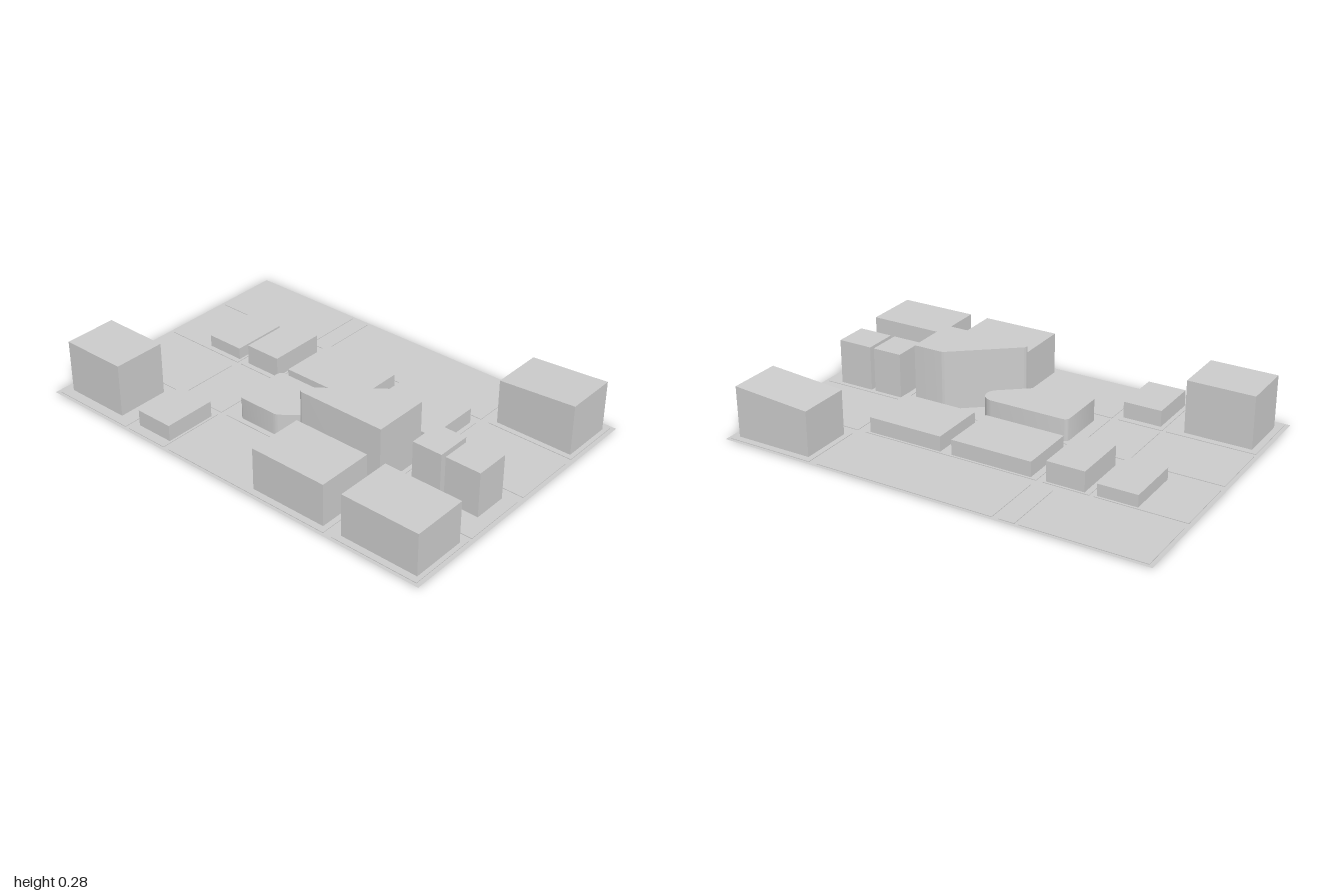
import * as THREE from 'three';
import { toCreasedNormals } from 'three/addons/utils/BufferGeometryUtils.js';

const grey = new THREE.MeshStandardMaterial({ color: 0xcccccc });
const LOT_TOP = 0.005;

// Box given by its extents on the ground plan and in height
function block(name, x0, x1, z0, z1, top, bottom = 0) {
  const geometry = new THREE.BoxGeometry(x1 - x0, top - bottom, z1 - z0);
  geometry.translate((x0 + x1) / 2, (top + bottom) / 2, (z0 + z1) / 2);
  const mesh = new THREE.Mesh(geometry, grey);
  mesh.name = name;
  return mesh;
}

// Polygon outline; each corner is [x, z, radius] and is replaced by an arc
function roundedOutline(corners) {
  const shape = new THREE.Shape();
  const points = corners.map(([x, z]) => new THREE.Vector2(x, -z));
  const n = points.length;
  points.forEach((p, i) => {
    const r = corners[i][2];
    const toPrev = points[(i + n - 1) % n].clone().sub(p).normalize();
    const toNext = points[(i + 1) % n].clone().sub(p).normalize();
    const half = Math.acos(toPrev.dot(toNext)) / 2;
    const reach = r / Math.tan(half);
    const start = p.clone().addScaledVector(toPrev, reach);
    const end = p.clone().addScaledVector(toNext, reach);
    const centre = toPrev.clone().add(toNext).normalize().multiplyScalar(r / Math.sin(half)).add(p);
    if (i === 0) shape.moveTo(start.x, start.y);
    else shape.lineTo(start.x, start.y);
    if (r > 0) {
      const a0 = start.clone().sub(centre).angle();
      const a1 = end.clone().sub(centre).angle();
      shape.absarc(centre.x, centre.y, r, a0, a1, toPrev.cross(toNext) > 0);
    }
  });
  shape.closePath();
  return shape;
}

function roundedBuilding(name, corners, height) {
  const geometry = new THREE.ExtrudeGeometry(roundedOutline(corners), {
    depth: height, bevelEnabled: false, curveSegments: 10,
  });
  geometry.rotateX(-Math.PI / 2);
  const mesh = new THREE.Mesh(toCreasedNormals(geometry, 0.6), grey);
  mesh.name = name;
  return mesh;
}

export function createModel() {
  const model = new THREE.Group();
  model.name = 'cityBlocks';

  // Road sheet under the lots
  const road = new THREE.Mesh(
    new THREE.PlaneGeometry(2, 1.35).rotateX(-Math.PI / 2),
    new THREE.MeshStandardMaterial({ color: 0xcccccc, side: THREE.DoubleSide })
  );
  road.position.y = 0.002;
  road.name = 'roadSheet';
  model.add(road);

  // Raised lots, row by row
  const lots = new THREE.Group();
  lots.name = 'lots';
  const usual = [[-0.98, -0.57], [-0.55, -0.34], [-0.31, 0.53], [0.57, 0.98]];
  const back = [[-0.98, -0.43], [-0.41, -0.34], [-0.31, 0.53], [0.57, 0.98]];
  const rows = [
    [-0.66, -0.36, back],
    [-0.32, -0.02, usual],
    [0.02, 0.32, usual],
    [0.34, 0.66, usual],
  ];
  for (const [z0, z1, columns] of rows) {
    for (const [x0, x1] of columns) lots.add(block('lot', x0, x1, z0, z1, LOT_TOP));
  }
  model.add(lots);

  // Plain box buildings: x range, z range, height
  const buildings = [
    ['frontLeftCornerTower', 0.595, 0.96, 0.37, 0.63, 0.2],
    ['frontHall', 0.14, 0.505, 0.37, 0.63, 0.2],
    ['frontLowHouse', -0.53, -0.35, 0.37, 0.615, 0.08],
    ['frontRightCornerTower', -0.95, -0.64, 0.37, 0.615, 0.25],
    ['twinTowerInner', 0.595, 0.735, 0.04, 0.2, 0.213],
    ['twinTowerOuter', 0.755, 0.92, 0.04, 0.2, 0.213],
    ['lowHallLeft', 0.155, 0.51, -0.31, -0.04, 0.075],
    ['lowHallRight', -0.28, 0.1, -0.31, -0.04, 0.075],
    ['lowHouseInner', -0.525, -0.35, -0.31, -0.045, 0.098],
    ['lowHouseOuter', -0.76, -0.58, -0.31, -0.045, 0.06],
  ];
  for (const spec of buildings) model.add(block(...spec));

  // Back corner tower with a roof rising towards its outer side
  const sloped = block('slopedRoofTower', 0.595, 0.96, -0.63, -0.385, 0.24);
  const pos = sloped.geometry.attributes.position;
  for (let i = 0; i < pos.count; i++) {
    if (pos.getY(i) > 0.1 && pos.getX(i) < 0.7) pos.setY(i, 0.213);
  }
  sloped.geometry.computeVertexNormals();
  model.add(sloped);

  // Two buildings facing each other across a diagonal passage
  model.add(roundedBuilding('roundedLowBuilding', [
    [-0.255, 0.295, 0.025],
    [-0.045, 0.295, 0.05],
    [0.28, 0.035, 0.057],
    [-0.255, 0.035, 0.025],
  ], 0.108));
  model.add(roundedBuilding('diagonalTallBuilding', [
    [0.045, 0.295, 0.02],
    [0.51, 0.295, 0],
    [0.51, 0.035, 0],
    [0.365, 0.035, 0.03],
  ], 0.28));

  return model;
}
